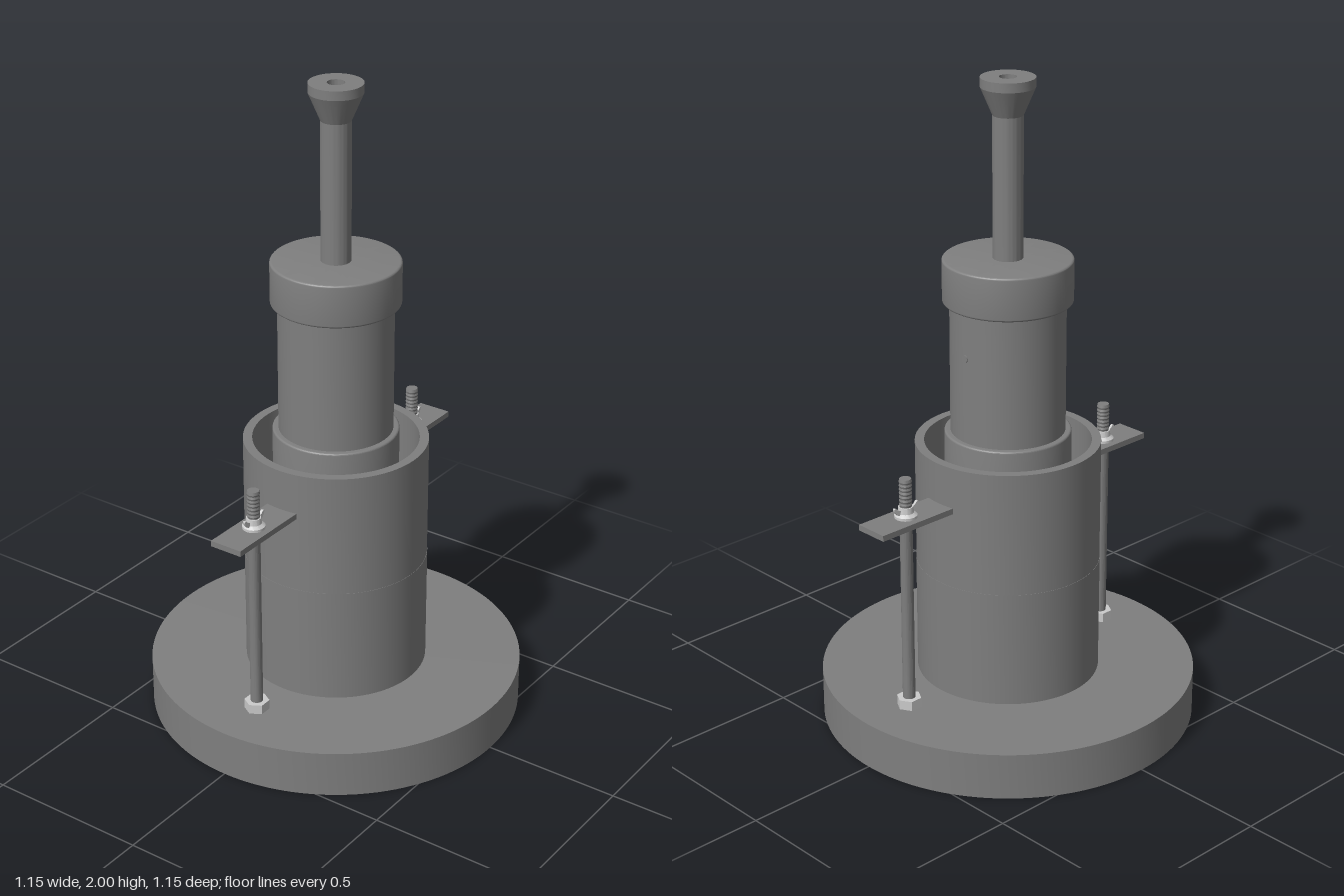
import * as THREE from 'three';
import { toCreasedNormals } from 'three/addons/utils/BufferGeometryUtils.js';

const steel = new THREE.MeshStandardMaterial({ color: 0x7f7f7f, side: THREE.DoubleSide });
const bright = new THREE.MeshStandardMaterial({ color: 0xcccccc, side: THREE.DoubleSide });

function add(parent, name, geometry, x = 0, y = 0, material = steel) {
  const mesh = new THREE.Mesh(geometry, material);
  mesh.name = name;
  mesh.position.set(x, y, 0);
  parent.add(mesh);
  return mesh;
}

// Turned part from [radius, height] pairs, listed from bottom to top
function turned(profile, segments = 96) {
  const points = profile.map(([r, y]) => new THREE.Vector2(r, y));
  return toCreasedNormals(new THREE.LatheGeometry(points, segments), 0.36);
}

// Quarter-round edge of a turned part, between two angles
function fillet(r, y, size, from, to) {
  return Array.from({ length: 7 }, (_, i) => {
    const a = from + ((to - from) * i) / 6;
    return [r + size * Math.cos(a), y + size * Math.sin(a)];
  });
}

// Hexagonal nut with a clear bore
function hexNut(radius, bore, height) {
  const shape = new THREE.Shape();
  for (let i = 0; i < 6; i++) {
    const a = (i * Math.PI) / 3;
    shape[i ? 'lineTo' : 'moveTo'](radius * Math.cos(a), radius * Math.sin(a));
  }
  shape.closePath();
  shape.holes.push(new THREE.Path().absarc(0, 0, bore, 0, Math.PI * 2, true));
  return new THREE.ExtrudeGeometry(shape, { depth: height, bevelEnabled: false }).rotateX(-Math.PI / 2);
}

// Flat clamp strip whose inner end follows the wall of the barrel
function clampStrip() {
  const half = 0.053, wall = 0.278, a = Math.asin(half / wall);
  const shape = new THREE.Shape();
  shape.moveTo(0.543, -half);
  shape.lineTo(0.543, half);
  shape.lineTo(wall * Math.cos(a), half);
  shape.absarc(0, 0, wall, a, -a, true);
  shape.closePath();
  shape.holes.push(new THREE.Path().absarc(0.41, 0, 0.021, 0, Math.PI * 2, true));
  return new THREE.ExtrudeGeometry(shape, { depth: 0.018, bevelEnabled: false }).rotateX(-Math.PI / 2);
}

// Stud with nut, strip and wing nut, built on the +x side
function clamp(name) {
  const g = new THREE.Group();
  g.name = name;
  const x = 0.41;

  // Stud: plain shank, then fine V-shaped threads to the tip
  const stud = [[0, 0.145], [0.019, 0.145], [0.019, 0.8]];
  for (let y = 0.803; y < 0.88; y += 0.012) stud.push([0.0175, y], [0.0195, y + 0.006]);
  stud.push([0.0175, 0.89], [0, 0.89]);
  add(g, 'stud', turned(stud, 24), x);
  add(g, 'footNut', hexNut(0.038, 0.018, 0.03), x, 0.145, bright);
  add(g, 'clampStrip', clampStrip(), 0, 0.75);

  // Wing nut: washer flange, tapered hub and two flared wings
  add(g, 'wingNutHub', turned([
    [0.018, 0.768], [0.034, 0.768], [0.034, 0.776], [0.024, 0.784], [0.022, 0.802], [0.018, 0.802],
  ], 32), x, 0, bright);
  const wing = new THREE.Shape();
  wing.moveTo(0.02, 0.778);
  wing.lineTo(0.032, 0.782);
  wing.quadraticCurveTo(0.047, 0.797, 0.046, 0.806);
  wing.quadraticCurveTo(0.04, 0.81, 0.034, 0.8);
  wing.lineTo(0.02, 0.793);
  for (const turn of [0, Math.PI]) {
    const geometry = new THREE.ExtrudeGeometry(wing, { depth: 0.008, bevelEnabled: false });
    geometry.translate(0, 0, -0.004).rotateY(turn);
    add(g, 'wingNutWing', geometry, x, 0, bright);
  }
  return g;
}

export function createModel() {
  const model = new THREE.Group();
  model.name = 'clampedPress';
  const quarter = Math.PI / 2;

  // Base disc
  add(model, 'baseDisc', turned([[0, 0], [0.575, 0], [0.575, 0.145], [0, 0.145]], 128));

  // Barrel: solid lower block and open upper sleeve, meeting at a fine seam
  add(model, 'lowerBarrel', turned([[0.28, 0.145], [0.28, 0.51], [0, 0.51]]));
  add(model, 'upperBarrel', turned([[0.279, 0.51], [0.279, 0.895], [0.251, 0.895], [0.251, 0.51]]));

  // Inner column: foot inside the barrel, tube and rounded cap
  add(model, 'columnFoot', turned([
    [0.19, 0.51], ...fillet(0.184, 0.924, 0.006, 0, quarter), [0.172, 0.93],
  ]));
  add(model, 'columnTube', turned([[0.172, 0.93], [0.172, 1.335]]));
  add(model, 'columnCap', turned([
    [0.172, 1.333],
    ...fillet(0.186, 1.34, 0.007, -quarter, 0),
    ...fillet(0.186, 1.458, 0.007, 0, quarter),
    [0, 1.465],
  ]));

  // Small pin in the side of the tube
  const pin = add(model, 'sidePin', new THREE.CylinderGeometry(0.011, 0.011, 0.016, 20), 0.167, 1.195);
  pin.rotation.z = quarter;

  // Plunger rod with flared head and blind bore
  add(model, 'plungerRod', turned([[0.045, 1.465], [0.045, 1.89]], 48));
  add(model, 'plungerHead', turned([
    [0.045, 1.89], [0.08, 1.972], [0.08, 2], [0.026, 2], [0.026, 1.9], [0, 1.9],
  ], 48));

  // Matching clamps on both sides
  const left = clamp('leftClamp');
  const right = clamp('rightClamp');
  right.rotation.y = Math.PI;
  model.add(left, right);

  return model;
}
